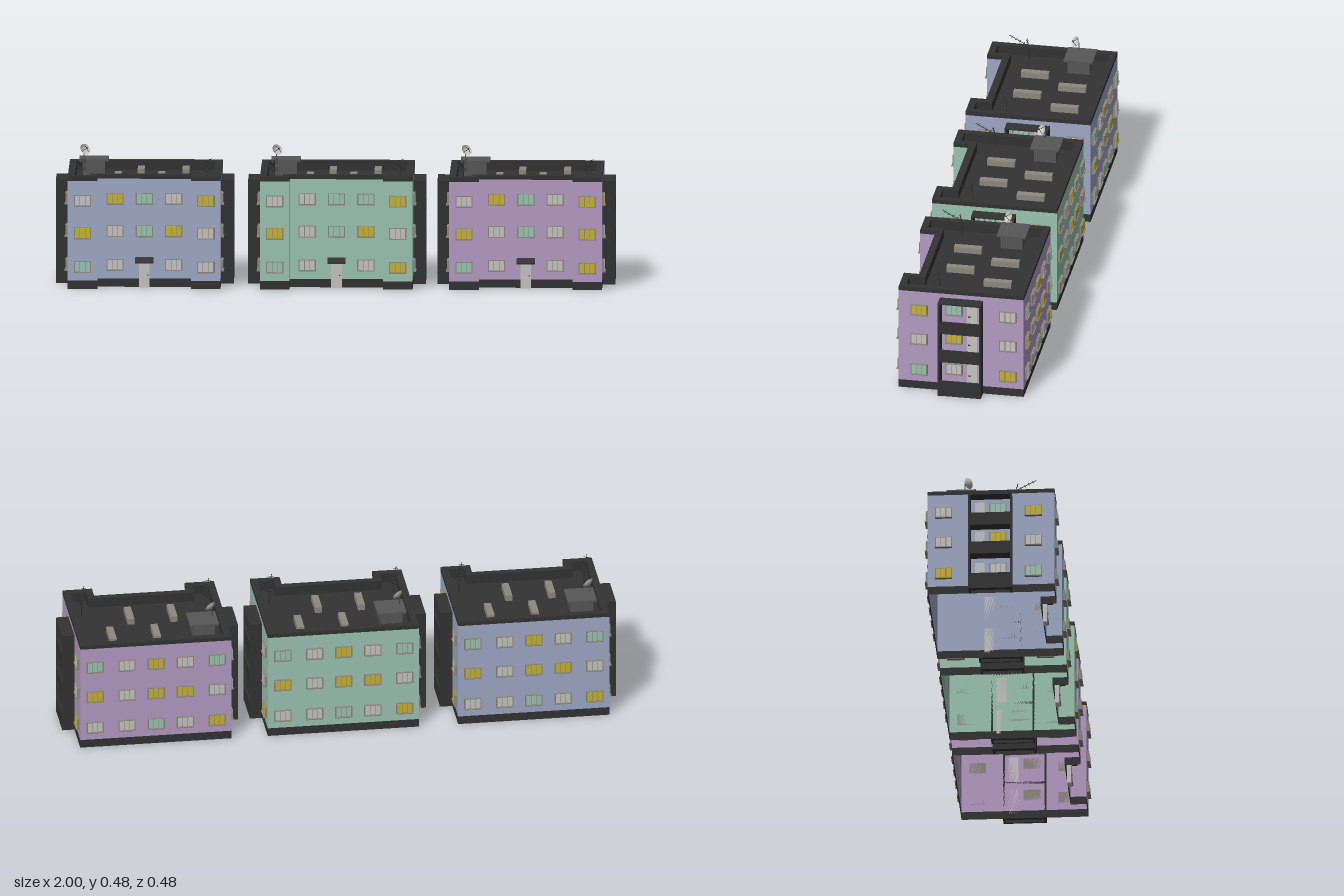
import * as THREE from 'three';

const mat = (name, color, side = THREE.FrontSide) => new THREE.MeshStandardMaterial({ name, color, side });
const DS = THREE.DoubleSide;
const M = {
  dark: mat('charcoal', 0x333333, DS),
  blue: mat('blue plaster', 0x9faac6, DS),
  mint: mat('mint', 0x9cc5b3, DS),
  lilac: mat('lilac plaster', 0xb59cc4, DS),
  light: mat('light grey', 0xc8c6c3, DS),
  yellow: mat('lit yellow', 0xc9b435),
  frame: mat('window frame', 0x8d897e),
  grey: mat('roof grey', 0x575757),
};
const GLASS = { g: M.light, y: M.yellow, m: M.mint };

// Main dimensions of one block
const HW = 0.273, HD = 0.227, BASE = 0.03, BAND = 0.39, TOP = 0.405, FLOOR = 0.37;
const ROWS = [0.319, 0.202, 0.08];

function add(parent, name, geo, material, x = 0, y = 0, z = 0) {
  const m = new THREE.Mesh(geo, material);
  m.name = name;
  m.position.set(x, y, z);
  parent.add(m);
  return m;
}
const box = (p, name, material, w, h, d, x, y, z) =>
  add(p, name, new THREE.BoxGeometry(w, h, d), material, x, y, z);

function rod(p, name, material, a, b, r) {
  const A = new THREE.Vector3(...a), B = new THREE.Vector3(...b), d = B.clone().sub(A);
  const m = add(p, name, new THREE.CylinderGeometry(r, r, d.length(), 6), material);
  m.position.copy(A).lerp(B, 0.5);
  m.quaternion.setFromUnitVectors(new THREE.Vector3(0, 1, 0), d.normalize());
}

// U-shaped plan with two front wings, inset by d; points are (x, z)
function plan(d) {
  const w = HW - d, f = HD - d, i = 0.167 + d, c = 0.17 - d;
  return [[-w, -f], [-w, f], [-i, f], [-i, c], [i, c], [i, f], [w, f], [w, -f]];
}

// Vertical wall strip around a plan
function walls(p, name, material, pts, y0, y1) {
  const pos = [];
  pts.forEach(([ax, az], i) => {
    const [bx, bz] = pts[(i + 1) % pts.length];
    pos.push(ax, y0, az, bx, y0, bz, bx, y1, bz, ax, y0, az, bx, y1, bz, ax, y1, az);
  });
  const g = new THREE.BufferGeometry();
  g.setAttribute('position', new THREE.Float32BufferAttribute(pos, 3));
  g.computeVertexNormals();
  add(p, name, g, material);
}

// Flat horizontal face of a plan, optionally with a hole
function flat(p, name, material, pts, y, hole) {
  const toV = a => a.map(([x, z]) => new THREE.Vector2(x, -z));
  const s = new THREE.Shape(toV(pts));
  if (hole) s.holes.push(new THREE.Path(toV(hole)));
  add(p, name, new THREE.ShapeGeometry(s).rotateX(-Math.PI / 2), material, 0, y, 0);
}

// Three-pane window with sill, facing local +z
function addWindow(p, glass, x, y, z, turn) {
  const g = new THREE.Group();
  g.name = 'window';
  box(g, 'windowFrame', M.frame, 0.062, 0.04, 0.008, 0, 0, 0.004);
  box(g, 'windowSill', M.frame, 0.062, 0.003, 0.012, 0, -0.02, 0.006);
  for (const k of [-1, 0, 1])
    box(g, 'windowPane', GLASS[glass], 0.0165, 0.035, 0.001, k * 0.0185, 0.0005, 0.0083);
  g.position.set(x, y, z);
  g.rotation.y = turn;
  p.add(g);
}

// Stacked balconies on one side (s = +1 or -1)
function addBalconies(p, s, glass) {
  const g = new THREE.Group();
  g.name = 'balconies';
  const D = 0.045, xc = s * (HW + D / 2);
  for (const z of [0.0735, -0.0755]) box(g, 'balconySideWall', M.dark, D, 0.374, 0.007, xc, 0.187, z);
  box(g, 'balconyRoof', M.dark, D, 0.006, 0.149, xc, 0.371, -0.001);
  [[0.25, 0.298], [0.136, 0.184], [0.012, 0.06]].forEach(([a, b], i) => {
    const y0 = i === 2 ? 0 : a;
    box(g, 'balconySlab', M.dark, D - 0.006, 0.008, 0.142, s * (HW + 0.0195), a + 0.004, -0.001);
    box(g, 'balconyRail', M.dark, 0.006, b - y0, 0.142, s * (HW + D - 0.004), (y0 + b) / 2, -0.001);
    addWindow(g, glass[i], s * HW, a + 0.08, 0.025, s * Math.PI / 2);
    box(g, 'balconyDoor', M.light, 0.006, 0.096, 0.035, s * (HW + 0.003), a + 0.056, -0.0405);
    box(g, 'doorHandle', M.dark, 0.004, 0.003, 0.009, s * (HW + 0.008), a + 0.058, -0.031);
  });
  p.add(g);
}

// Rooftop aerial with a rising boom and cross elements
function addAerial(p, s) {
  const g = new THREE.Group();
  g.name = 'aerial';
  const x = s * 0.225, z = 0.086, y = 0.423;
  rod(g, 'aerialMast', M.dark, [x, FLOOR, z], [x, y, z], 0.0018);
  const tip = [x - 0.02, 0.451, 0.16];
  rod(g, 'aerialBoom', M.dark, [x, y, z], tip, 0.0012);
  for (const [dy, dz] of [[0.025, 0.007], [-0.013, 0.021]]) {
    rod(g, 'reflectorArm', M.dark, [x, y, z], [x, y + dy, z + dz], 0.0012);
    for (const t of [0.4, 0.7, 1])
      rod(g, 'reflectorBar', M.dark, [x - 0.015, y + dy * t - 0.004, z + dz * t], [x + 0.015, y + dy * t + 0.004, z + dz * t], 0.001);
  }
  for (const t of [0.25, 0.45, 0.65, 0.85]) {
    const ex = x - 0.02 * t, ey = y + 0.028 * t, ez = z + 0.074 * t;
    rod(g, 'aerialElement', M.dark, [ex - 0.009, ey, ez - 0.002], [ex + 0.009, ey, ez + 0.002], 0.0009);
  }
  p.add(g);
}

// Satellite dish on the roof hut
function addDish(p) {
  const g = new THREE.Group();
  g.name = 'satelliteDish';
  rod(g, 'dishPole', M.grey, [-0.22, 0.425, -0.097], [-0.22, 0.456, -0.097], 0.002);
  const dish = new THREE.Group();
  dish.name = 'dishHead';
  const profile = [[0, 0], [0.008, 0.001], [0.015, 0.004], [0.021, 0.009]].map(a => new THREE.Vector2(...a));
  add(dish, 'dishBowl', new THREE.LatheGeometry(profile, 20), M.light);
  for (let i = 0; i < 3; i++) {
    const a = i * Math.PI * 2 / 3;
    rod(dish, 'feedArm', M.dark, [0.016 * Math.cos(a), 0.005, 0.016 * Math.sin(a)], [0, 0.02, 0], 0.0008);
  }
  add(dish, 'feedHorn', new THREE.CylinderGeometry(0.002, 0.003, 0.005, 8), M.dark, 0, 0.02, 0);
  dish.position.set(-0.22, 0.456, -0.09);
  dish.quaternion.setFromUnitVectors(new THREE.Vector3(0, 1, 0), new THREE.Vector3(0.5, 0.5, 0.66).normalize());
  g.add(dish);
  p.add(g);
}

function addRoof(b) {
  const outer = plan(0), inner = plan(0.025);
  walls(b, 'parapetOuter', M.dark, outer, BAND, TOP);
  walls(b, 'parapetInner', M.dark, inner, FLOOR, TOP);
  flat(b, 'parapetTop', M.dark, outer, TOP, inner);
  flat(b, 'roofDeck', M.dark, inner, FLOOR);
  box(b, 'roofHut', M.grey, 0.08, 0.05, 0.08, -0.185, 0.395, -0.109);
  box(b, 'roofHutSlab', M.grey, 0.105, 0.007, 0.105, -0.185, 0.4235, -0.109);
  for (const [x, z] of [[-0.016, -0.11], [0.144, -0.11], [-0.096, 0.04], [0.059, 0.04]])
    box(b, 'roofVent', M.frame, 0.025, 0.022, 0.1, x, FLOOR + 0.011, z);
  addDish(b);
  for (const s of [-1, 1]) addAerial(b, s);
}

function addEntrance(b) {
  box(b, 'entranceDoor', M.light, 0.038, 0.09, 0.014, 0, 0.045, 0.177);
  box(b, 'entranceHandle', M.dark, 0.006, 0.004, 0.004, 0.012, 0.045, 0.185);
  // wedge canopy sloping down to the front
  const s = new THREE.Shape([[0, 0.088], [0.033, 0.088], [0.033, 0.094], [0, 0.108]].map(a => new THREE.Vector2(...a)));
  const g = new THREE.ExtrudeGeometry(s, { depth: 0.065, bevelEnabled: false }).rotateY(-Math.PI / 2);
  add(b, 'entranceCanopy', g, M.dark, 0.0325, 0, 0.17);
}

// Window colours per row (top to bottom): g grey, y yellow, m mint, - none
function buildBlock(x, plaster, cfg) {
  const b = new THREE.Group();
  b.name = 'apartmentBlock';
  walls(b, 'basePlinth', M.dark, plan(0), 0, BASE);
  walls(b, 'plasterWalls', plaster, plan(0), BASE, BAND);
  addRoof(b);
  addEntrance(b);
  const cols = [-0.22, -0.105, 0, 0.105, 0.22];
  ROWS.forEach((y, r) => {
    cols.forEach((cx, c) => {
      const fz = c === 0 || c === 4 ? HD : 0.17;
      if (cfg.front[r][c] !== '-') addWindow(b, cfg.front[r][c], cx, y, fz, 0);
      addWindow(b, cfg.back[r][c], cx, y, -HD, Math.PI);
    });
    for (const s of [-1, 1])
      [0.152, -0.17].forEach((z, k) => addWindow(b, cfg.side[r][k], s * HW, y, z, s * Math.PI / 2));
  });
  for (const s of [-1, 1]) addBalconies(b, s, 'myg');
  b.position.x = x;
  return b;
}

export function createModel() {
  const root = new THREE.Group();
  root.name = 'apartmentBlocks';
  const back = ['mgygm', 'gyygy', 'ygmgg'], side = ['yg', 'gg', 'my'];
  root.add(buildBlock(-0.682, M.blue, { front: ['gymgy', 'ygmyg', 'mg-gg'], back, side }));
  root.add(buildBlock(0.005, M.mint, { front: ['ggmmy', 'ygmyg', 'mg-gy'], back, side }));
  root.add(buildBlock(0.682, M.lilac, { front: ['gymgy', 'ygmgy', 'mg-gy'], back, side }));
  return root;
}
